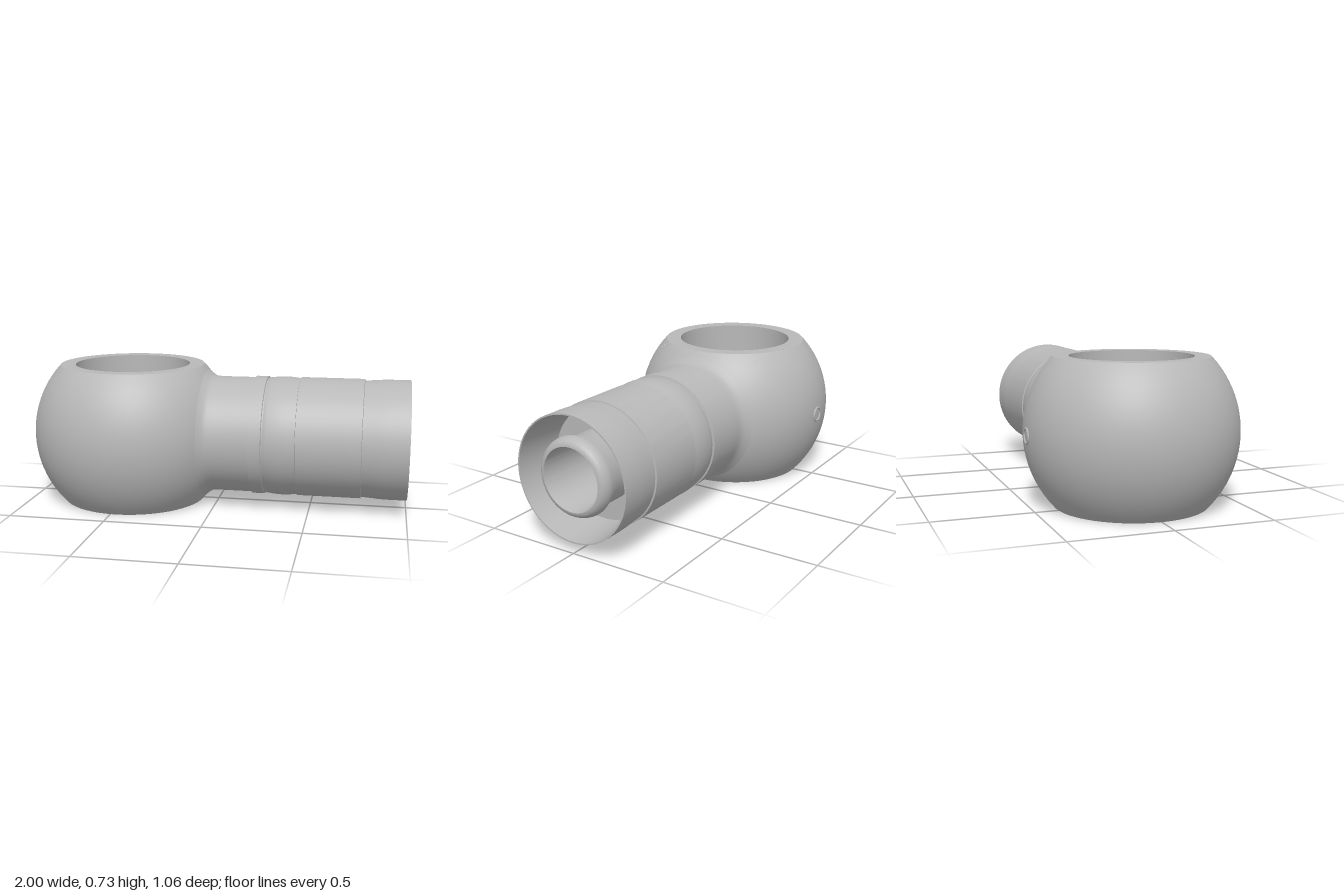
import * as THREE from 'three';
import { toCreasedNormals, mergeGeometries } from 'three/addons/utils/BufferGeometryUtils.js';

const CX = -0.47, CY = 0.365;            // centre of the ball
const BALL = 0.53, BORE = 0.305, GROOVE = 0.335, PORT = 0.155, GH = 0.163;

// Surface grid from a rule p(i, j) with normals n(p)
function grid(ni, nj, rule, normal, flip) {
  const pos = [], nor = [], idx = [];
  for (let i = 0; i <= ni; i++) for (let j = 0; j <= nj; j++) {
    const p = rule(i / ni, j / nj);
    pos.push(p.x, p.y, p.z);
    nor.push(...normal(p).toArray());
    if (i < ni && j < nj) {
      const a = i * (nj + 1) + j, b = a + nj + 1;
      if (flip) idx.push(a, a + 1, b, b, a + 1, b + 1);
      else idx.push(a, b, a + 1, b, b + 1, a + 1);
    }
  }
  const g = new THREE.BufferGeometry();
  g.setAttribute('position', new THREE.Float32BufferAttribute(pos, 3));
  g.setAttribute('normal', new THREE.Float32BufferAttribute(nor, 3));
  g.setIndex(idx);
  return g;
}

// Wall of revolution about y, pierced by a round port facing +x
function piercedWall(radius, halfHeight, hole, halfAngle, curved, inward) {
  const at = (th, y) => new THREE.Vector3(radius(y) * Math.cos(th), y, radius(y) * Math.sin(th));
  const normal = p => new THREE.Vector3(p.x, curved ? p.y : 0, p.z).normalize().multiplyScalar(inward ? -1 : 1);
  const around = grid(96, 10, (u, s) => {
    const c = Math.cos(u * 2 * Math.PI), d = Math.sin(u * 2 * Math.PI);
    const m = Math.max(Math.abs(c), Math.abs(d));
    const th0 = Math.asin(hole * c / radius(hole * d));
    return at(THREE.MathUtils.lerp(th0, halfAngle * c / m, s),
      THREE.MathUtils.lerp(hole * d, halfHeight * d / m, s));
  }, normal, inward);
  const rest = grid(24, 80, (v, u) => at(halfAngle + u * 2 * (Math.PI - halfAngle),
    (2 * v - 1) * halfHeight), normal, inward);
  return mergeGeometries([around, rest]);
}

// Turned part from a profile of [radius, height]
function turned(points) {
  return new THREE.LatheGeometry(points.map(([r, h]) => new THREE.Vector2(r, h)), 96);
}

export function createModel() {
  const group = new THREE.Group();
  const steel = new THREE.MeshStandardMaterial({ color: 0xb8b8b8 });
  steel.name = 'grey steel';
  const add = (name, geometry, parent = group) => {
    const mesh = new THREE.Mesh(geometry, steel);
    mesh.name = name;
    parent.add(mesh);
    return mesh;
  };

  // Ball-shaped eye with flat faces and a grooved bore
  const eye = new THREE.Group();
  eye.name = 'eye';
  eye.position.set(CX, CY, 0);
  group.add(eye);
  const flatR = Math.sqrt(BALL * BALL - CY * CY);
  add('ballSurface', piercedWall(y => Math.sqrt(BALL * BALL - y * y), CY, 0.25, 0.8, true, false), eye);
  add('boreGroove', piercedWall(() => GROOVE, GH, PORT, 0.7, false, true), eye);
  const rim = [[flatR, CY], [BORE, CY], [BORE, GH], [GROOVE, GH]];
  add('upperRim', toCreasedNormals(turned(rim), 0.5), eye);
  const lower = rim.map(([r, h]) => [r, -h]).reverse();
  add('lowerRim', toCreasedNormals(turned(lower), 0.5), eye);

  // Tiny raised ring on the back of the ball
  const mark = add('backMark', new THREE.TorusGeometry(0.036, 0.007, 8, 32), eye);
  mark.position.z = -BALL + 0.002;

  // Outer sleeve with collar, bead and crimped end, open at the mouth
  const sleeve = [[0.345, -0.07], [0.33, -0.052], [0.317, -0.036], [0.308, -0.018], [0.305, 0.01],
    [0.305, 0.2], [0.312, 0.2], [0.312, 0.263], [0.304, 0.265], [0.304, 0.272]];
  for (let i = 0; i <= 8; i++) {
    sleeve.push([0.306 + 0.007 * Math.sin(i / 8 * Math.PI), 0.275 + 0.16 * i / 8]);
  }
  sleeve.push([0.312, 0.437], [0.312, 0.765], [0.304, 0.767], [0.306, 0.8], [0.31, 0.85],
    [0.312, 0.89], [0.312, 1], [0.305, 1], [0.28, 0.76], [0.165, 0.76]);
  add('sleeve', toCreasedNormals(turned(sleeve).rotateZ(-Math.PI / 2), 0.5)).position.y = CY;

  // Inner nipple with rounded lip, its passage leading into the bore
  const nipple = [[0.175, 0.76], [0.175, 0.88]];
  for (let i = 0; i <= 12; i++) {
    const a = i / 12 * Math.PI / 2;
    nipple.push([0.157 + 0.039 * Math.cos(a), 0.945 + 0.055 * Math.sin(a)]);
  }
  nipple.push([PORT, 0.995], [PORT, 0.5], [PORT, -0.15]);
  const tube = turned(nipple).rotateZ(-Math.PI / 2);
  const p = tube.attributes.position;
  for (let i = 0; i < p.count; i++) {
    if (p.getX(i) < -0.1) p.setX(i, CX + Math.sqrt(GROOVE ** 2 - p.getZ(i) ** 2));
  }
  add('nipple', toCreasedNormals(tube, 0.7)).position.y = CY;

  return group;
}
